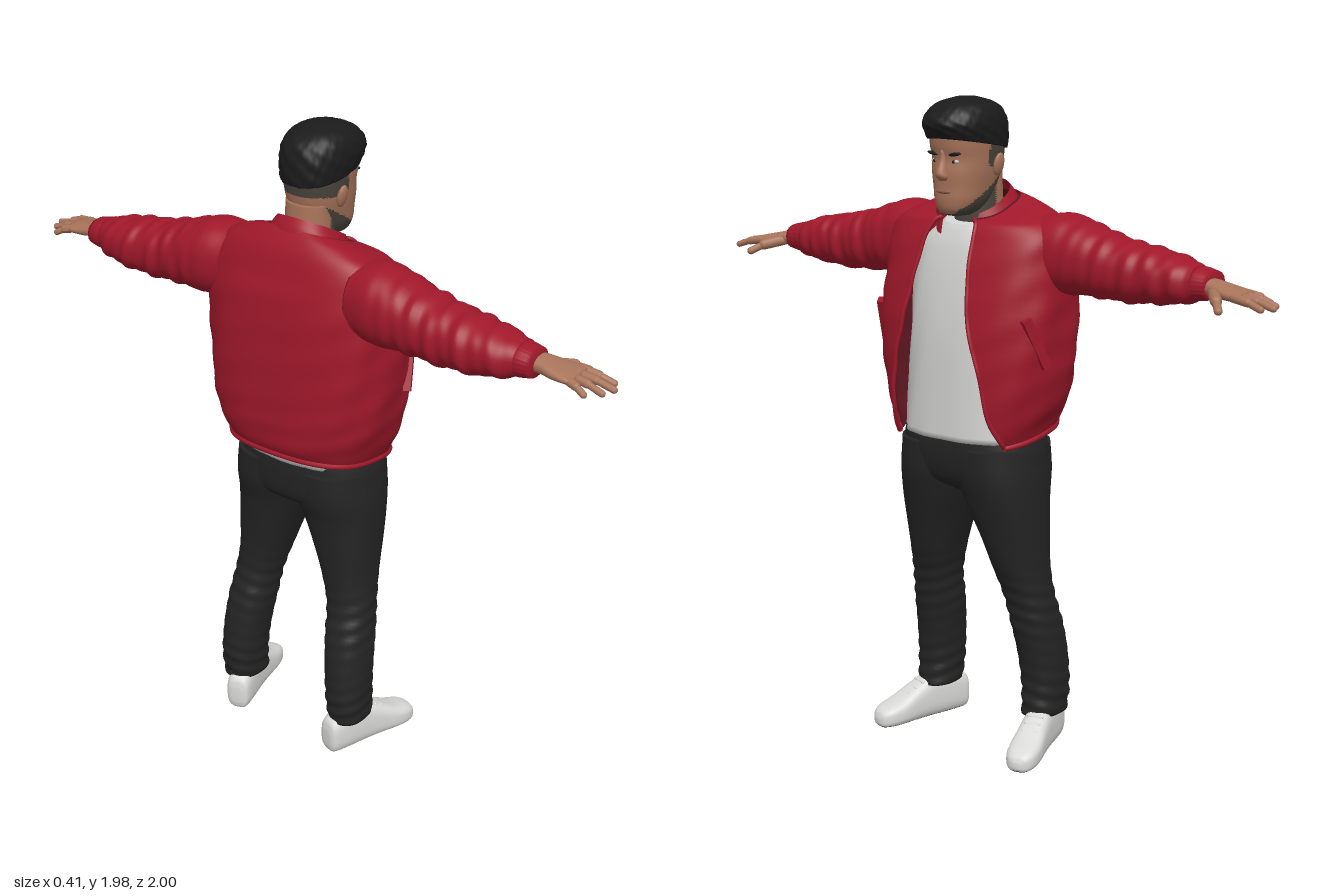
import * as THREE from 'three';

const mat = (name, color, side = THREE.FrontSide) =>
  Object.assign(new THREE.MeshStandardMaterial({ color, side }), { name });

// Skin over cross-sections. Row: [t, a0, a1, b0, b1, tilt, openLeft, openRight], t running along the axis.
// y axis: a = x, b = z;  z axis: a = x, b = y;  x axis: a = y, b = z.
function loft(rows, { axis = 'y', n = 40, rings = 40, p = 2.3, open = false, inward = false, fold, pick } = {}) {
  const w = 8, data = rows.flatMap(r => [...r, ...Array(w - r.length).fill(0)]);
  const curve = new THREE.CubicInterpolant(rows.map((_, i) => i), data, w, new Float32Array(w));
  const cols = open ? n + 1 : n, pos = [], lists = [[], []];
  const put = (a, b, t, tilt) => {
    t += tilt * a;
    pos.push(...(axis === 'y' ? [a, t, b] : axis === 'z' ? [a, b, t] : [t, a, b]));
  };
  const root = (v, e) => Math.sign(v) * Math.abs(v) ** e;
  for (let i = 0; i <= rings; i++) {
    const [t, a0, a1, b0, b1, tilt, oL, oR] = curve.evaluate(Math.min(i / rings, 0.99999) * (rows.length - 1));
    const ca = (a0 + a1) / 2, cb = (b0 + b1) / 2, ra = (a1 - a0) / 2, rb = (b1 - b0) / 2;
    const start = open ? Math.asin(Math.min(1, (oL / rb) ** (p / 2))) : 0;
    const end = Math.PI * 2 - (open ? Math.asin(Math.min(1, (oR / rb) ** (p / 2))) : 0);
    for (let j = 0; j < cols; j++) {
      const ang = start + (end - start) * j / n, f = fold ? 1 + fold(ang, t) : 1;
      put(ca + ra * f * root(Math.cos(ang), 2 / p), cb + rb * f * root(Math.sin(ang), 2 / p), t, tilt);
    }
  }
  const flip = (axis === 'y') !== inward;
  const tri = (a, b, c) => {
    const mid = k => (pos[a * 3 + k] + pos[b * 3 + k] + pos[c * 3 + k]) / 3;
    lists[pick && pick(mid(0), mid(1)) ? 1 : 0].push(...(flip ? [a, c, b] : [a, b, c]));
  };
  for (let i = 0; i < rings; i++) for (let j = 0; j < n; j++) {
    const k = open ? j + 1 : (j + 1) % n, a = i * cols + j, b = i * cols + k;
    tri(a, b, b + cols);
    tri(a, b + cols, a + cols);
  }
  if (!open) for (const [i, r] of [[0, rows[0]], [rings, rows[rows.length - 1]]]) {
    const c = pos.length / 3;
    put((r[1] + r[2]) / 2, (r[3] + r[4]) / 2, r[0], r[5] || 0);
    for (let j = 0; j < n; j++) {
      const a = i * cols + j, b = i * cols + (j + 1) % n;
      if (i) tri(a, b, c); else tri(b, a, c);
    }
  }
  const g = new THREE.BufferGeometry();
  g.setAttribute('position', new THREE.Float32BufferAttribute(pos, 3));
  g.setIndex([...lists[0], ...lists[1]]);
  if (pick) {
    g.addGroup(0, lists[0].length, 0);
    g.addGroup(lists[0].length, lists[1].length, 1);
  }
  g.computeVertexNormals();
  return g;
}

// Mirror a geometry across z = 0, keeping faces outward
function mirrored(src) {
  const g = src.clone().scale(1, 1, -1), ix = g.index.array;
  for (let i = 0; i < ix.length; i += 3) [ix[i], ix[i + 1]] = [ix[i + 1], ix[i]];
  g.computeVertexNormals();
  return g;
}

// Rounded rod between two points
function rod(a, b, r) {
  const A = new THREE.Vector3(...a), B = new THREE.Vector3(...b), d = B.clone().sub(A);
  const q = new THREE.Quaternion().setFromUnitVectors(new THREE.Vector3(0, 1, 0), d.clone().normalize());
  const m = A.add(B).multiplyScalar(0.5);
  return new THREE.CapsuleGeometry(r, d.length(), 5, 12).applyQuaternion(q).translate(m.x, m.y, m.z);
}
const blob = (x, y, z, sx, sy, sz, turn = 0) =>
  new THREE.SphereGeometry(1, 16, 10).scale(sx, sy, sz).rotateX(turn).translate(x, y, z);

export function createModel() {
  const red = mat('jacket red', 0xa0182a, THREE.DoubleSide), lining = mat('jacket lining', 0x5c1620, THREE.DoubleSide);
  const shirt = mat('shirt white', 0xd2d2d0), shoe = mat('shoe white', 0xdadad8), denim = mat('black denim', 0x242425);
  const skin = mat('skin', 0xa8745a), hair = mat('hair black', 0x1b1b1c), stubble = mat('stubble', 0x4a443c);
  const lip = mat('lips', 0x8c5a4a), eye = mat('eye white', 0xc8c0b8);
  const model = new THREE.Group();
  const add = (name, g, m) => {
    const mesh = new THREE.Mesh(g, m);
    mesh.name = name;
    model.add(mesh);
  };
  const pair = (name, g, m) => { add('left' + name, g, m); add('right' + name, mirrored(g), m); };

  // Jacket body: open down the front, with lining and bound edges
  const body = [
    [1.005, -.19, .185, -.235, .235, -.17, .195, .2], [1.04, -.205, .195, -.25, .25, -.16, .19, .195],
    [1.1, -.21, .2, -.275, .275, -.1, .18, .175], [1.2, -.21, .2, -.297, .297, 0, .165, .155],
    [1.35, -.203, .188, -.31, .31, 0, .135, .11], [1.5, -.187, .155, -.308, .308, 0, .11, .09],
    [1.58, -.165, .128, -.3, .3, 0, .095, .085], [1.63, -.145, .11, -.265, .265, -.1, .08, .08],
    [1.655, -.122, .1, -.2, .2, -.25, .07, .07], [1.67, -.1, .095, -.125, .125, -.4, .06, .06]];
  const drape = (a, y) => .012 * Math.sin(a * 9 + y * 14) * Math.sin((y - 1) * 5) + .006 * Math.sin(y * 60 + a * 5);
  const opt = { n: 72, rings: 60, p: 2.7, open: true, fold: drape };
  const jacket = loft(body, opt);
  add('jacketBody', jacket, red);
  const inset = body.map(([t, a, b, c, d, ...r]) => [t, a + .01, b - .01, c + .01, d - .01, ...r]);
  add('jacketLining', loft(inset, { ...opt, inward: true }), lining);
  const edge = (ids, r) => new THREE.TubeGeometry(new THREE.CatmullRomCurve3(
    ids.map(i => new THREE.Vector3().fromBufferAttribute(jacket.attributes.position, i))), 90, r, 8);
  const steps = [...Array(61).keys()];
  add('leftFrontEdge', edge(steps.map(i => i * 73), .007), red);
  add('rightFrontEdge', edge(steps.map(i => i * 73 + 72), .007), red);
  add('jacketHem', edge([...Array(73).keys()], .009), red);
  add('collar', loft([
    [1.635, -.112, .105, -.125, .125, -.55, .06, .06], [1.665, -.1, .098, -.11, .11, -.55, .062, .062],
    [1.692, -.084, .09, -.096, .096, -.55, .065, .065]], { rings: 10, open: true }), red);
  pair('PocketWelt', new THREE.BoxGeometry(.028, .16, .022).rotateZ(-.45).rotateY(.46).translate(.092, 1.3, .287), red);

  // Sleeves with bunched folds, ribbed cuffs
  const bunch = (a, z) => Math.min(1, Math.max(0, (z - .28) * 6)) *
    (.035 * Math.sin(z * 75 + 2 * Math.sin(a + z * 9)) + .02 * Math.sin(z * 130 - a * 2));
  pair('Sleeve', loft([
    [.22, -.15, .06, 1.44, 1.65], [.3, -.163, .06, 1.428, 1.658], [.4, -.155, .052, 1.43, 1.628],
    [.5, -.148, .045, 1.425, 1.6], [.6, -.148, .04, 1.43, 1.585], [.69, -.13, .03, 1.44, 1.566],
    [.74, -.105, .012, 1.455, 1.55]], { axis: 'z', rings: 90, fold: bunch }), red);
  pair('Cuff', loft([
    [.73, -.104, .01, 1.456, 1.548], [.75, -.105, .01, 1.456, 1.548], [.785, -.098, .004, 1.462, 1.54]],
    { axis: 'z', n: 80, rings: 6, fold: a => .012 * Math.sin(a * 26) }), red);

  // Hands: palm, four fingers and a forward thumb
  pair('Palm', loft([
    [.76, -.072, 0, 1.474, 1.525], [.8, -.073, .008, 1.474, 1.52], [.84, -.08, .022, 1.471, 1.511],
    [.88, -.08, .031, 1.471, 1.503], [.9, -.074, .026, 1.475, 1.498]], { axis: 'z', n: 24, rings: 16 }), skin);
  [['Index', .019, .031, .972], ['Middle', -.009, -.004, .99], ['Ring', -.037, -.042, .975], ['Little', -.063, -.077, .94]]
    .forEach(([k, x0, x1, z]) => {
      const mx = (x0 + x1) / 2, mz = (.885 + z) / 2;
      pair(k + 'Knuckle', rod([x0, 1.487, .88], [mx, 1.48, mz], .0125), skin);
      pair(k + 'Fingertip', rod([mx, 1.48, mz], [x1, 1.466, z], .0098), skin);
    });
  pair('ThumbBase', rod([-.005, 1.49, .805], [.045, 1.477, .845], .0165), skin);
  pair('ThumbTip', rod([.045, 1.477, .845], [.078, 1.458, .872], .0115), skin);

  // Shirt
  add('shirt', loft([
    [.99, -.15, .173, -.217, .217], [1.1, -.15, .168, -.21, .21], [1.3, -.15, .158, -.2, .2],
    [1.45, -.14, .137, -.2, .2], [1.55, -.12, .113, -.18, .18], [1.61, -.09, .093, -.12, .12, -.15],
    [1.64, -.08, .08, -.092, .092, -.3]], { n: 56, p: 2.5, fold: (a, y) => .01 * Math.sin(a * 13 + y * 18) }), shirt);

  // Jeans
  add('hips', loft([
    [.82, -.07, .09, -.08, .08], [.86, -.135, .145, -.215, .215], [.94, -.15, .168, -.232, .232],
    [1.03, -.145, .165, -.212, .212]], { p: 2.5 }), denim);
  const crease = (a, y) => {
    const near = c => Math.exp(-(((y - c) / .09) ** 2));
    return (near(.46) * .035 + near(.17) * .04) * Math.sin(y * 130 + a * 2) + .006 * Math.sin(a * 5 + y * 22);
  };
  pair('TrouserLeg', loft([
    [.115, -.147, .008, .148, .268], [.2, -.156, .002, .142, .272], [.3, -.15, .012, .133, .27], [.4, -.133, .032, .12, .262],
    [.5, -.106, .052, .107, .25], [.6, -.102, .085, .08, .24], [.7, -.11, .112, .045, .24], [.8, -.122, .14, .004, .24],
    [.88, -.142, .158, -.02, .237], [.97, -.145, .162, -.02, .225]], { rings: 90, fold: crease }), denim);

  // Trainers, toes turned out, dark underneath
  const place = g => g.rotateY(-.29).translate(0, 0, .23);
  pair('Shoe', place(loft([
    [-.168, .03, .085, -.02, .02], [-.155, .004, .12, -.037, .037], [-.1, 0, .145, -.043, .043], [-.03, 0, .142, -.044, .044],
    [.03, 0, .115, -.047, .047], [.09, 0, .083, -.051, .051], [.135, 0, .067, -.046, .046],
    [.16, .003, .053, -.032, .032], [.17, .015, .035, -.012, .012]],
    { axis: 'x', p: 2.9, pick: (x, y) => y < .008 })), [shoe, hair]);
  for (const x of [.01, .035, .06])
    pair('Lace', place(rod([x, .128 - x * .58, -.022], [x, .128 - x * .58, .022], .005)), shoe);

  // Neck and head, with shaded jaw and temples
  add('neck', loft([
    [1.56, -.09, .065, -.075, .075], [1.66, -.075, .06, -.07, .07], [1.77, -.065, .06, -.07, .07]],
    { pick: x => x > 0 }), [skin, stubble]);
  add('head', loft([
    [1.645, .05, .125, -.03, .03], [1.66, .02, .148, -.052, .052], [1.69, -.02, .157, -.069, .069],
    [1.73, -.048, .158, -.078, .078], [1.77, -.062, .16, -.085, .085], [1.81, -.07, .157, -.089, .089],
    [1.85, -.074, .166, -.092, .092], [1.9, -.073, .167, -.092, .092], [1.94, -.045, .14, -.07, .07], [1.96, 0, .09, -.03, .03]],
    { n: 64, rings: 64, pick: (x, y) => (x < .135 && x > -.02 && y < 1.75 - .62 * x) || (x < .055 && y > 1.79 - .1 * x) }),
    [skin, stubble]);
  add('nose', loft([
    [1.748, .14, .166, -.014, .014], [1.76, .14, .179, -.019, .019], [1.775, .14, .181, -.015, .015],
    [1.805, .14, .168, -.01, .01], [1.835, .14, .165, -.008, .008]], { n: 20, rings: 16, p: 2 }), skin);
  pair('Ear', blob(.02, 1.79, .094, .021, .034, .011, .2), skin);
  pair('Eye', blob(.147, 1.803, .036, .007, .006, .014), eye);
  pair('Pupil', blob(.152, 1.803, .035, .0045, .005, .005), hair);
  pair('Eyebrow', blob(.152, 1.824, .038, .009, .0055, .023, -.14), hair);
  add('mouth', blob(.154, 1.716, 0, .008, .006, .026), lip);

  // Cropped hair, longer over the brow
  add('hair', loft([
    [1.84, -.082, .172, -.097, .097, .16], [1.865, -.084, .186, -.101, .101, .13], [1.905, -.08, .193, -.103, .103, .03],
    [1.94, -.064, .174, -.094, .094], [1.965, -.03, .136, -.072, .072], [1.98, .02, .08, -.028, .028]],
    { n: 72, rings: 36, fold: (a, y) => .012 * Math.sin(a * 23 + y * 90) + .008 * Math.sin(a * 11 - y * 150) }), hair);
  return model;
}
